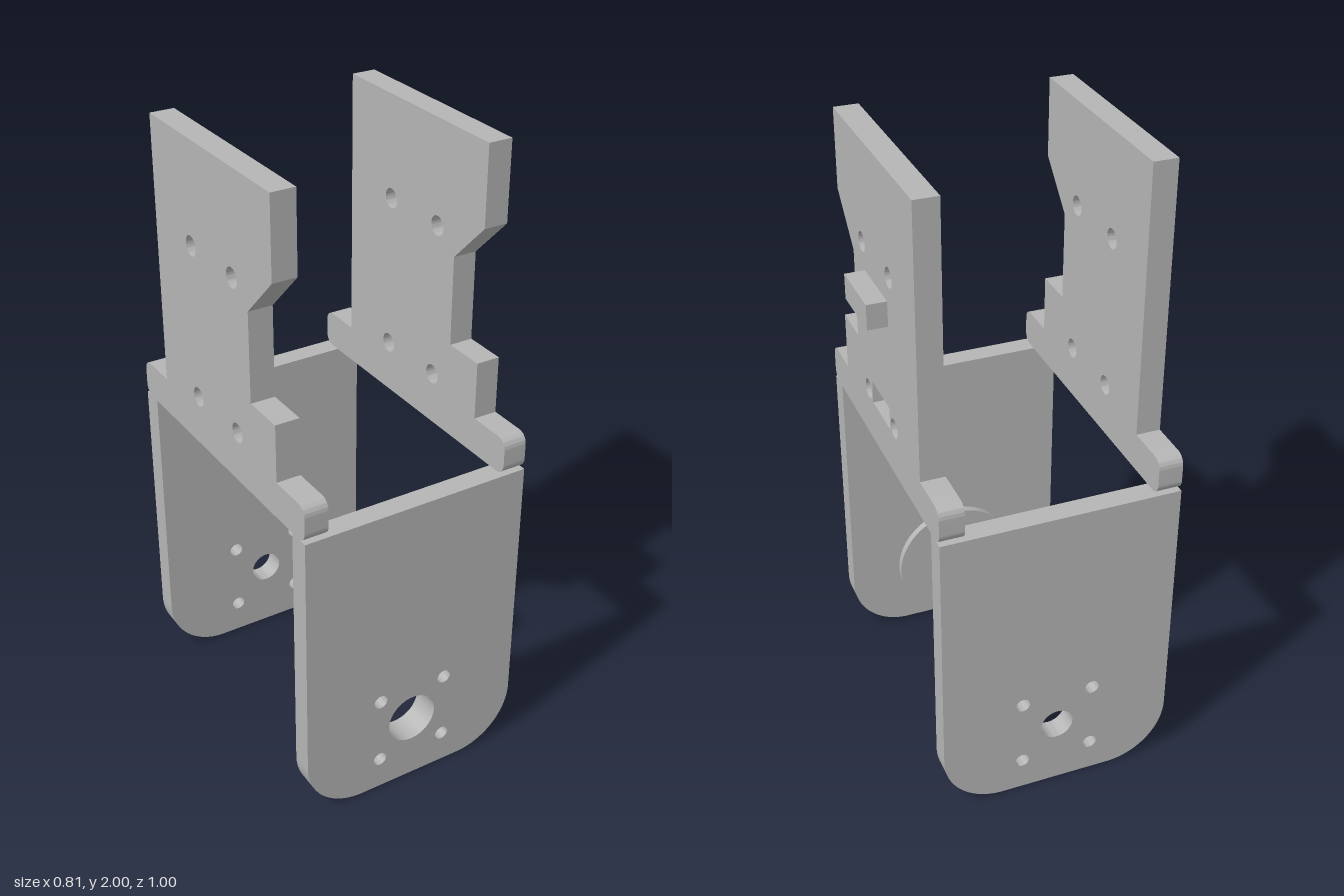
import * as THREE from 'three';
import { toCreasedNormals } from 'three/addons/utils/BufferGeometryUtils.js';

const CX = -0.031;                 // middle of the bracket across x
const HALF_W = 0.376;              // half width of the bracket
const SIDE_T = 0.077;              // side plate thickness
const END_T = 0.07;                // front and back plate thickness
const JOINT_Y = 1.023;             // where lower plates meet the side plates
const AXLE_Y = 0.227;

function addHole(shape, x, y, r) {
  const hole = new THREE.Path();
  hole.absarc(x, y, r, 0, Math.PI * 2, true);
  shape.holes.push(hole);
}

function extrude(shape, depth) {
  const geo = new THREE.ExtrudeGeometry(shape, { depth, bevelEnabled: false, curveSegments: 24 });
  return toCreasedNormals(geo, 0.6);
}

// Side plate outline: horizontal axis runs from front (-) to back (+)
function sideShape(withSlot) {
  const r = 0.034, b = JOINT_Y, t = 1.142;
  const s = new THREE.Shape();
  s.moveTo(-0.5 + r, b);
  s.lineTo(0.5 - r, b);
  s.absarc(0.5 - r, b + r, r, -Math.PI / 2, 0, false);
  s.lineTo(0.5, t - r);
  s.absarc(0.5 - r, t - r, r, 0, Math.PI / 2, false);
  s.lineTo(0.346, t);
  s.lineTo(0.346, 2);
  s.lineTo(-0.348, 2);
  s.lineTo(-0.348, 1.75);
  s.lineTo(-0.21, 1.612);
  s.lineTo(-0.21, 1.327);
  s.lineTo(-0.348, 1.327);
  s.lineTo(-0.348, t);
  s.lineTo(-0.5 + r, t);
  s.absarc(-0.5 + r, t - r, r, Math.PI / 2, Math.PI, false);
  s.lineTo(-0.5, b + r);
  s.absarc(-0.5 + r, b + r, r, Math.PI, Math.PI * 1.5, false);
  for (const z of [-0.122, 0.122]) for (const y of [1.187, 1.677]) addHole(s, z, y, 0.031);
  if (withSlot) {
    const slot = new THREE.Path();
    slot.moveTo(-0.082, 1.16);
    slot.lineTo(-0.082, 1.234);
    slot.lineTo(0.082, 1.234);
    slot.lineTo(0.082, 1.16);
    slot.closePath();
    s.holes.push(slot);
  }
  return s;
}

// Lower end plate outline with large rounded bottom corners
function endShape(axleRadius) {
  const r = 0.195, w = HALF_W;
  const s = new THREE.Shape();
  s.moveTo(-w + r, 0);
  s.lineTo(w - r, 0);
  s.absarc(w - r, r, r, -Math.PI / 2, 0, false);
  s.lineTo(w, JOINT_Y);
  s.lineTo(-w, JOINT_Y);
  s.lineTo(-w, r);
  s.absarc(-w + r, r, r, Math.PI, Math.PI * 1.5, false);
  addHole(s, 0, AXLE_Y, axleRadius);
  for (const x of [-0.116, 0.116]) for (const y of [-0.116, 0.116]) addHole(s, x, AXLE_Y + y, 0.023);
  return s;
}

export function createModel() {
  const group = new THREE.Group();
  const metal = new THREE.MeshStandardMaterial({ color: 0xb5b5b5 });
  metal.name = 'plain grey';

  const add = (name, geo, x, y, z) => {
    const mesh = new THREE.Mesh(geo, metal);
    mesh.name = name;
    mesh.position.set(x, y, z);
    group.add(mesh);
  };
  const sidePlate = (name, x, depth, withSlot) =>
    add(name, extrude(sideShape(withSlot), depth).rotateY(Math.PI / 2), x, 0, 0);

  // Upper side plates; the left one has a blind slot in its outer layer
  const recess = 0.04;
  const leftX = CX + HALF_W - SIDE_T;
  sidePlate('rightSidePlate', CX - HALF_W, SIDE_T, false);
  sidePlate('leftSidePlateInner', leftX, SIDE_T - recess, false);
  sidePlate('leftSidePlateOuter', leftX + SIDE_T - recess, recess, true);

  // Locating tab on the left plate
  add('sideTab', new THREE.BoxGeometry(0.062, 0.08, 0.206), CX + HALF_W + 0.031, 1.555, 0);

  // Lower front and back plates
  add('frontPlate', extrude(endShape(0.084), END_T), CX, 0, 0.502 - END_T);
  add('backPlate', extrude(endShape(0.053), END_T), CX, 0, -0.502);

  // Boss ring on the inside of the front plate
  const ring = new THREE.Shape();
  ring.absarc(0, 0, 0.208, 0, Math.PI * 2, false);
  addHole(ring, 0, 0, 0.084);
  add('bossRing', extrude(ring, 0.025), CX, AXLE_Y, 0.502 - END_T - 0.025);

  return group;
}
